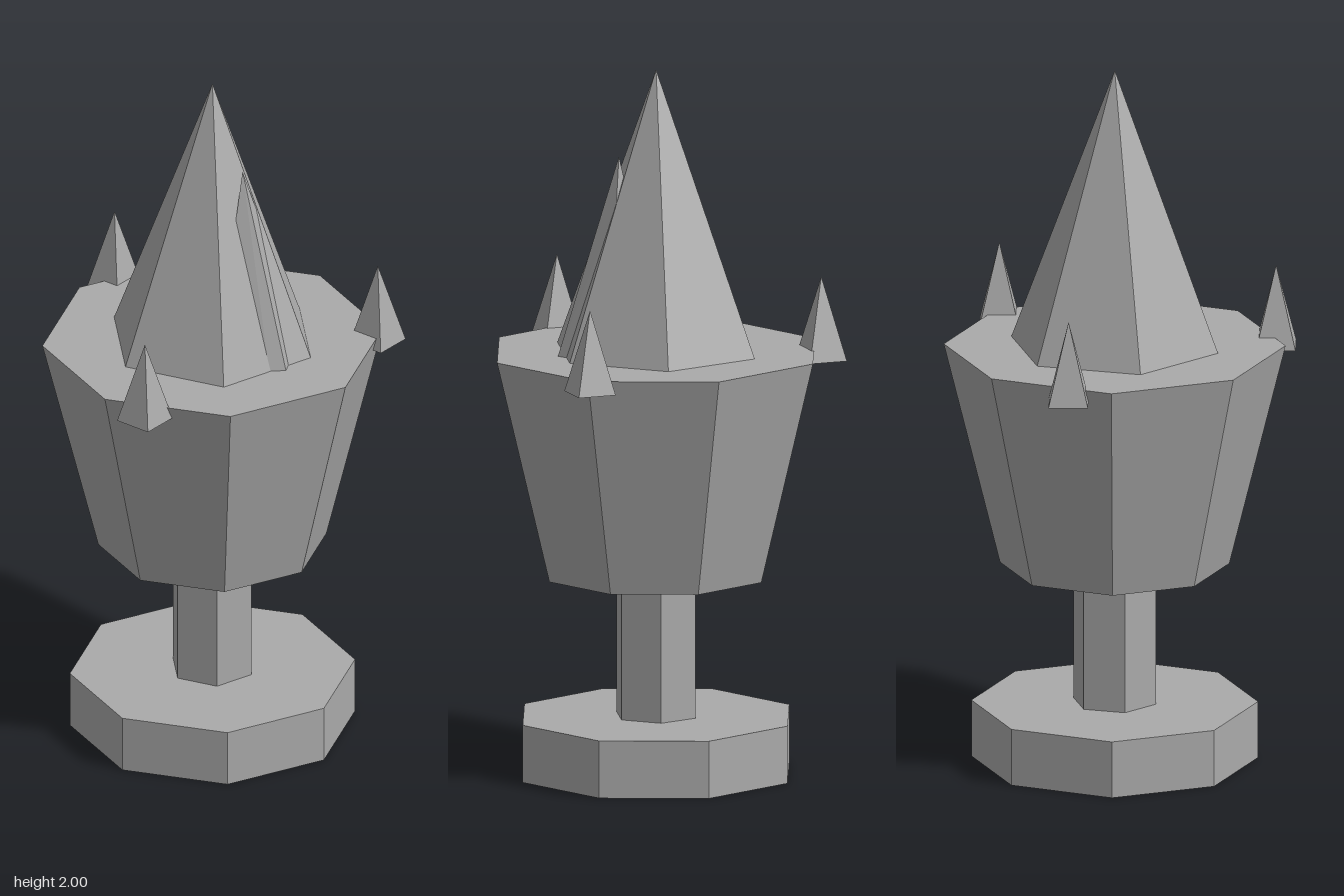
import * as THREE from 'three';
import { ConvexGeometry } from 'three/addons/geometries/ConvexGeometry.js';

export function createModel() {
  const model = new THREE.Group();
  const stone = new THREE.MeshStandardMaterial({ color: 0xaaaaaa, flatShading: true });
  stone.name = 'grey stone';
  const axis = -0.034; // the body sits off centre, balanced by the right-hand spike

  const add = (name, geometry, x = 0, y = 0, z = 0) => {
    const mesh = new THREE.Mesh(geometry, stone);
    mesh.name = name;
    mesh.position.set(x, y, z);
    model.add(mesh);
    return mesh;
  };

  // Tapered, faceted section standing between two heights
  const section = (name, rTop, rBottom, y0, y1, sides, x = axis, z = 0) =>
    add(name, new THREE.CylinderGeometry(rTop, rBottom, y1 - y0, sides), x, (y0 + y1) / 2, z);

  section('base', 0.4, 0.4, 0, 0.163, 8);
  section('stem', 0.12, 0.12, 0.163, 0.565, 6);
  section('cup', 0.477, 0.32, 0.565, 1.2, 8);

  // Cones use their own geometry so that the tip is a single point
  const cone = (name, r, y0, y1, sides, x, z) =>
    add(name, new THREE.ConeGeometry(r, y1 - y0, sides), x, (y0 + y1) / 2, z);

  cone('centralSpire', 0.3, 1.2, 2, 6, axis, 0);

  // Three small spikes evenly spaced around the rim
  for (let i = 0; i < 3; i++) {
    const a = (i * Math.PI * 2) / 3;
    cone('rimSpike' + (i + 1), 0.078, 1.165, 1.4, 4, axis + 0.464 * Math.cos(a), 0.464 * Math.sin(a));
  }

  // Slanted shard half sunk into the front left face of the spire
  const shard = [
    [0.102, 1.2, 0.219], [0.149, 1.2, 0.219], [0.16, 1.2, 0.186],
    [0.017, 1.605, 0.114], [0.042, 1.76, 0.08], [0.083, 1.63, 0.07], [0.05, 1.705, 0.062],
  ].map((p) => new THREE.Vector3(...p));
  add('shard', new ConvexGeometry(shard));

  return model;
}
